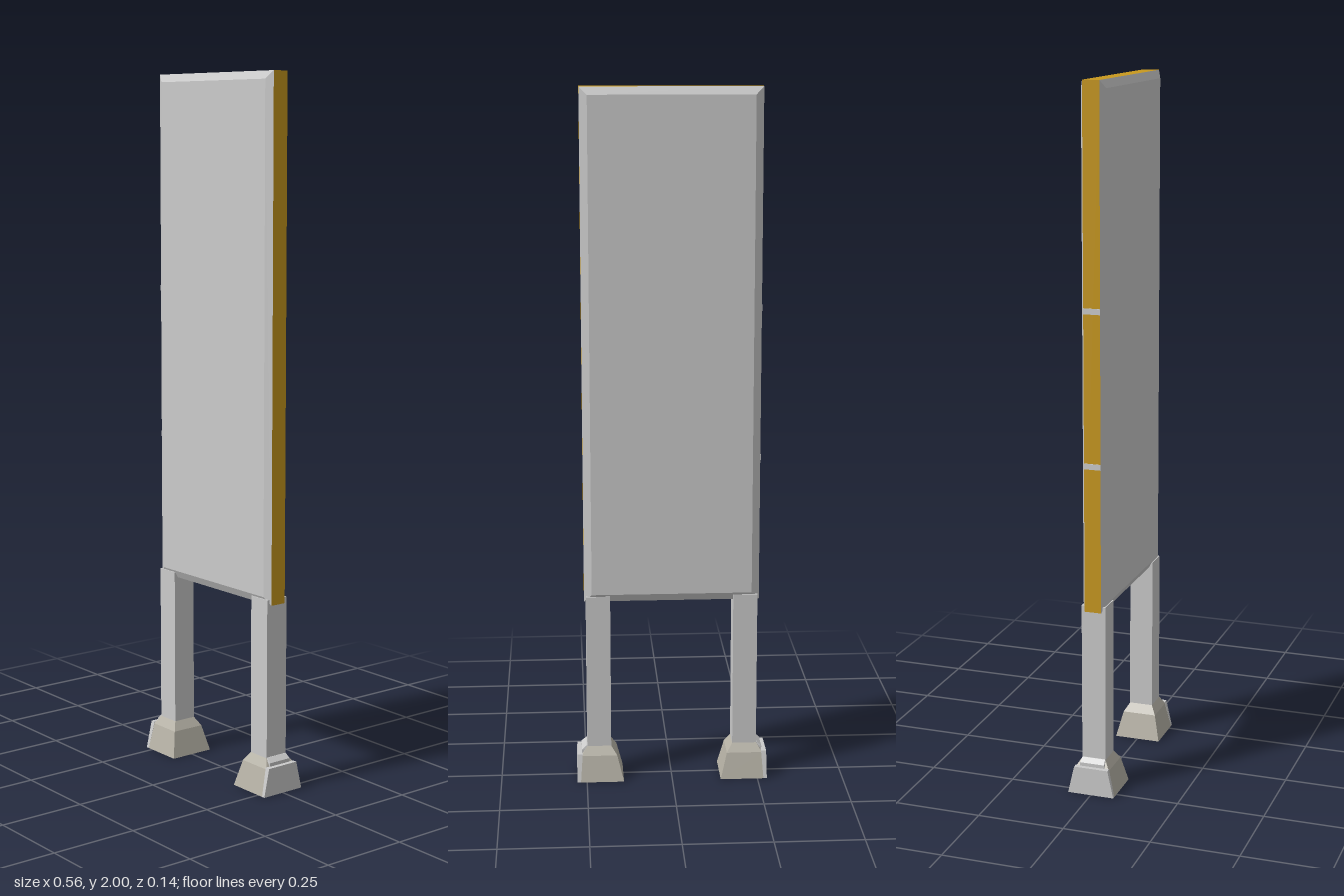
import * as THREE from 'three';

const grey = new THREE.MeshStandardMaterial({ color: 0xcccccc, flatShading: true, side: THREE.DoubleSide });
const stone = new THREE.MeshStandardMaterial({ color: 0xb6b2a6, flatShading: true, side: THREE.DoubleSide });
const gold = new THREE.MeshStandardMaterial({ color: 0xc8981e, flatShading: true });

// Rectangular loft; each section is [y, xMin, xMax, halfDepth]
function loft(sections, capTop = false) {
  const pos = [], index = [];
  for (const [y, x0, x1, d] of sections) pos.push(x0, y, d, x1, y, d, x1, y, -d, x0, y, -d);
  for (let s = 0; s < sections.length - 1; s++) {
    for (let i = 0; i < 4; i++) {
      const a = s * 4 + i, b = s * 4 + (i + 1) % 4;
      index.push(a, b, b + 4, a, b + 4, a + 4);
    }
  }
  if (capTop) {
    const t = (sections.length - 1) * 4;
    index.push(t, t + 1, t + 2, t, t + 2, t + 3);
  }
  const g = new THREE.BufferGeometry();
  g.setAttribute('position', new THREE.Float32BufferAttribute(pos, 3));
  g.setIndex(index);
  const flat = g.toNonIndexed();
  flat.computeVertexNormals();
  return flat;
}

function add(parent, name, geometry, material) {
  const mesh = new THREE.Mesh(geometry, material);
  mesh.name = name;
  parent.add(mesh);
  return mesh;
}

export function createModel() {
  const model = new THREE.Group();
  model.name = 'signStand';

  const halfW = 0.253, bottom = 0.54, top = 2;
  const midY = (top + bottom) / 2, halfH = (top - bottom) / 2;
  const rim = 0.024, face = 0.035, bevel = 0.022;

  // Gold rim of the board
  add(model, 'boardRim', new THREE.BoxGeometry(halfW * 2, halfH * 2, rim * 2), gold).position.y = midY;

  // Bevelled face plates, front and back
  for (const side of [1, -1]) {
    const plate = loft([
      [rim, -halfW, halfW, halfH],
      [face, -halfW + bevel, halfW - bevel, halfH - bevel],
    ], true);
    plate.rotateX(side * Math.PI / 2);
    const mesh = add(model, side > 0 ? 'frontPlate' : 'backPlate', plate, grey);
    mesh.position.y = midY;
  }

  // Thin seams on the right edge of the rim
  for (const y of [0.96, 1.39]) {
    add(model, 'edgeSeam', new THREE.BoxGeometry(0.004, 0.016, rim * 2), grey).position.set(-halfW, y, 0);
  }

  // Hollow legs and flared feet, mirrored left and right
  for (const side of [1, -1]) {
    const leg = new THREE.Group();
    leg.name = side > 0 ? 'leftLeg' : 'rightLeg';

    // Sections are given for the left side and swapped for the right
    const mirror = (list) => list.map(([y, a, b, d]) => (side > 0 ? [y, a, b, d] : [y, -b, -a, d]));

    add(leg, 'post', loft(mirror([
      [0.1, 0.178, 0.248, 0.035],
      [0.556, 0.178, 0.248, 0.035],
    ]), true), grey);

    add(leg, 'foot', loft(mirror([
      [0, 0.142, 0.278, 0.068],
      [0.075, 0.161, 0.265, 0.05],
      [0.1, 0.178, 0.248, 0.035],
    ])), stone);

    // Upright plate on the outer side of the foot
    add(leg, 'footPlate', loft(mirror([
      [0, 0.268, 0.278, 0.068],
      [0.08, 0.262, 0.277, 0.05],
    ]), true), grey);

    // Narrow collar where the foot meets the post
    add(leg, 'collar', loft(mirror([
      [0.075, 0.25, 0.264, 0.036],
      [0.09, 0.246, 0.264, 0.036],
      [0.102, 0.244, 0.25, 0.034],
    ]), true), grey);

    model.add(leg);
  }

  return model;
}
